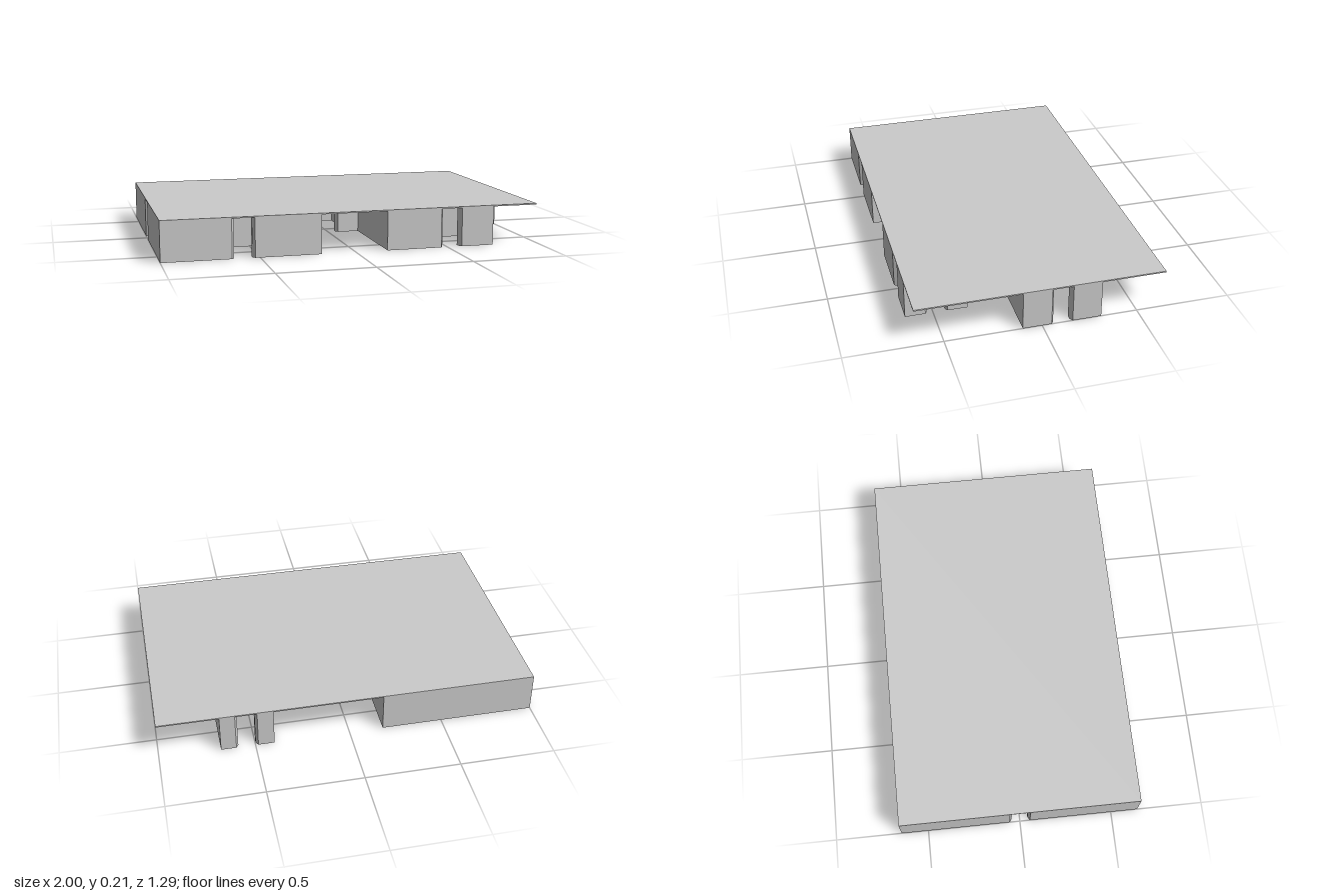
import * as THREE from 'three';

const WALL_HEIGHT = 0.205;
const THICKNESS = 0.06;
const ROOF = 0.007;

// Wall runs between openings, each traced along its outer face as [x, z].
const outerRuns = [
  [[-1, 0.055], [-1, 0.645], [-0.643, 0.645]],
  [[-0.525, 0.645], [-0.18, 0.645], [-0.18, 0.1], [-0.055, 0.1]],
  [[0.055, 0.1], [0.17, 0.1], [0.17, 0.645], [0.465, 0.645]],
  [[0.58, 0.645], [0.755, 0.645], [0.755, 0.54]],
  [[0.755, 0.425], [0.755, 0.32], [0.44, 0.32], [0.44, 0.1], [1, 0.1], [1, -0.05]],
  [[1, -0.16], [1, -0.31], [0.68, -0.31], [0.68, -0.645], [0.6, -0.645]],
  [[0.485, -0.645], [0.4, -0.645], [0.4, -0.17], [0.34, -0.17]],
  [[0.23, -0.17], [0.17, -0.17], [0.17, -0.31], [-0.18, -0.31],
    [-0.18, -0.645], [-1, -0.645], [-1, -0.055]],
];
const innerRun = [[-0.47, -0.14], [-0.47, -0.35], [-0.75, -0.35],
  [-0.75, 0.36], [-0.47, 0.36], [-0.47, -0.03]];

// Extrudes a run into a wall thickened inwards, with chamfered jambs at both ends.
function wall(name, run, material) {
  const pts = run.map(([x, z]) => new THREE.Vector2(x, z));
  const dirs = pts.slice(1).map((p, i) => p.clone().sub(pts[i]).normalize());
  const normals = dirs.map((d) => new THREE.Vector2(d.y, -d.x));
  const last = pts.length - 1;
  const inner = pts.map((p, i) => {
    const q = p.clone();
    if (i > 0) q.addScaledVector(normals[i - 1], THICKNESS);
    if (i < last) q.addScaledVector(normals[i], THICKNESS);
    return q;
  });

  // Two points that cut one end corner: back along the wall, and into the jamb.
  const cut = (corner, along, across) => [
    corner.clone(),
    corner.clone().addScaledVector(along, 0.012).addScaledVector(across, 0.018),
  ];
  const outDir = dirs[0].clone().negate();
  const n0 = normals[0], n1 = normals[last - 1];
  const outline = [
    ...cut(pts[0], outDir, n0).reverse(),
    ...pts.slice(1, last),
    ...cut(pts[last], dirs[last - 1], n1),
    ...cut(inner[last], dirs[last - 1], n1.clone().negate()).reverse(),
    ...inner.slice(1, last).reverse(),
    ...cut(inner[0], outDir, n0.clone().negate()),
  ];
  const shape = new THREE.Shape(outline.map((p) => new THREE.Vector2(p.x, -p.y)));
  const geometry = new THREE.ExtrudeGeometry(shape, { depth: WALL_HEIGHT, bevelEnabled: false });
  geometry.rotateX(-Math.PI / 2);
  const mesh = new THREE.Mesh(geometry, material);
  mesh.name = name;
  return mesh;
}

export function createModel() {
  const group = new THREE.Group();
  group.name = 'floorPlan';
  const material = new THREE.MeshStandardMaterial({ color: 0xcccccc });

  // Outer walls with full-height door and window gaps
  const walls = new THREE.Group();
  walls.name = 'outerWalls';
  outerRuns.forEach((run, i) => walls.add(wall(`outerWall${i + 1}`, run, material)));
  group.add(walls);

  // Enclosed inner room
  group.add(wall('innerRoomWall', innerRun, material));

  // Thin flat slab covering everything
  const slab = new THREE.Mesh(new THREE.BoxGeometry(2, ROOF, 1.29), material);
  slab.name = 'roofSlab';
  slab.position.y = WALL_HEIGHT + ROOF / 2;
  group.add(slab);

  return group;
}
